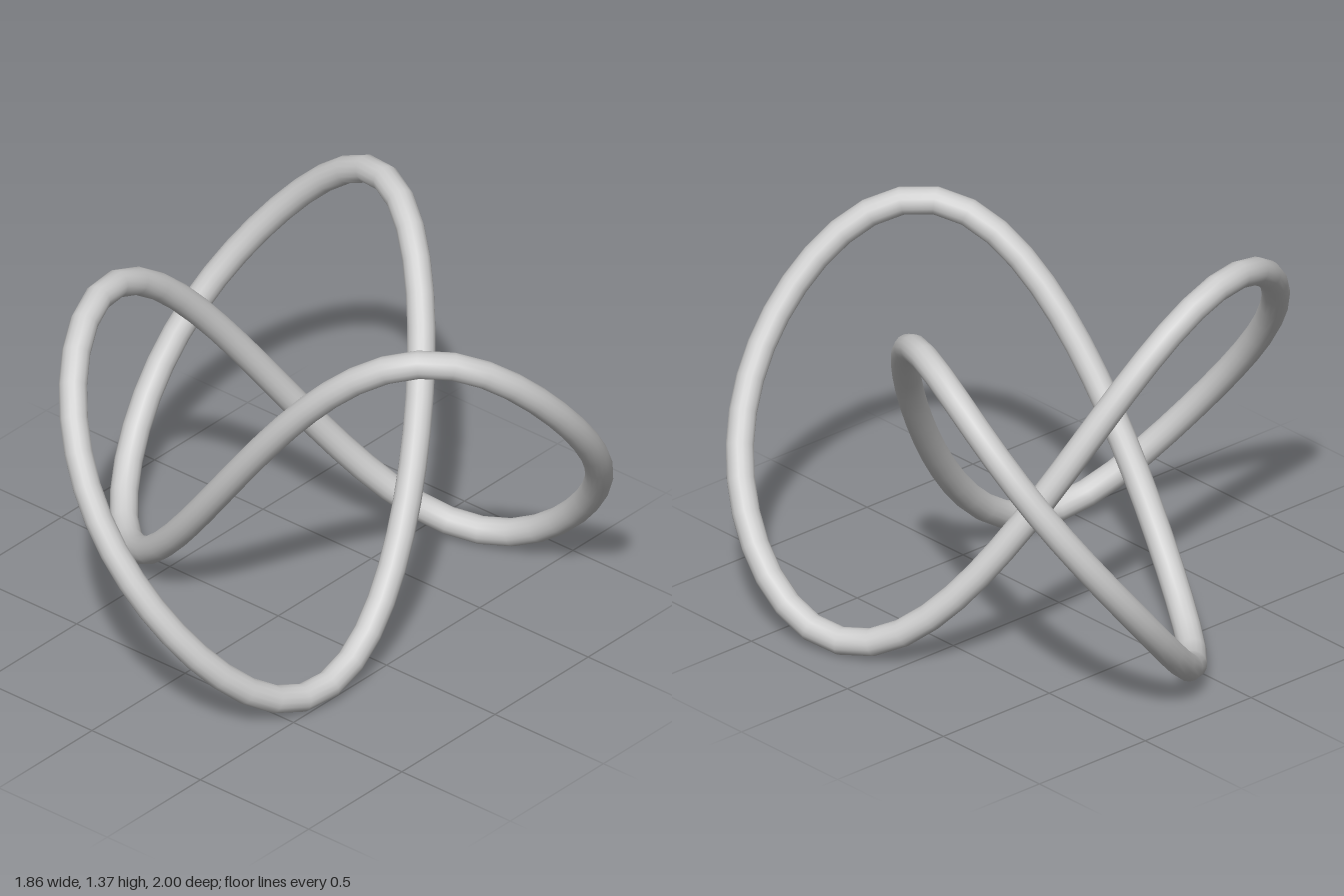
import * as THREE from 'three';

const RADIUS = 0.05;   // tube radius
const A = 0.324;       // first harmonic of the three-lobed outline
const B = 0.712;       // second harmonic
const RISE = 0.635;    // half height of the centre line
const OFFSET_X = 0.152;

// Closed trefoil path: three lobes in plan, rising and falling three times
class TrefoilCurve extends THREE.Curve {
  getPoint(u, target = new THREE.Vector3()) {
    const t = u * Math.PI * 2;
    const wave = (Math.sin(3 * t) - 0.125 * Math.sin(6 * t)) / 1.029;
    return target.set(
      OFFSET_X - A * Math.cos(t) - B * Math.cos(2 * t),
      RISE + RADIUS + RISE * wave,
      A * Math.sin(t) - B * Math.sin(2 * t)
    );
  }
}

export function createModel() {
  const group = new THREE.Group();
  group.name = 'trefoilKnot';

  // Single endless tube
  const tube = new THREE.Mesh(
    new THREE.TubeGeometry(new TrefoilCurve(), 100, RADIUS, 16, true),
    new THREE.MeshStandardMaterial({ color: 0xcccccc })
  );
  tube.name = 'knotTube';
  group.add(tube);
  return group;
}
